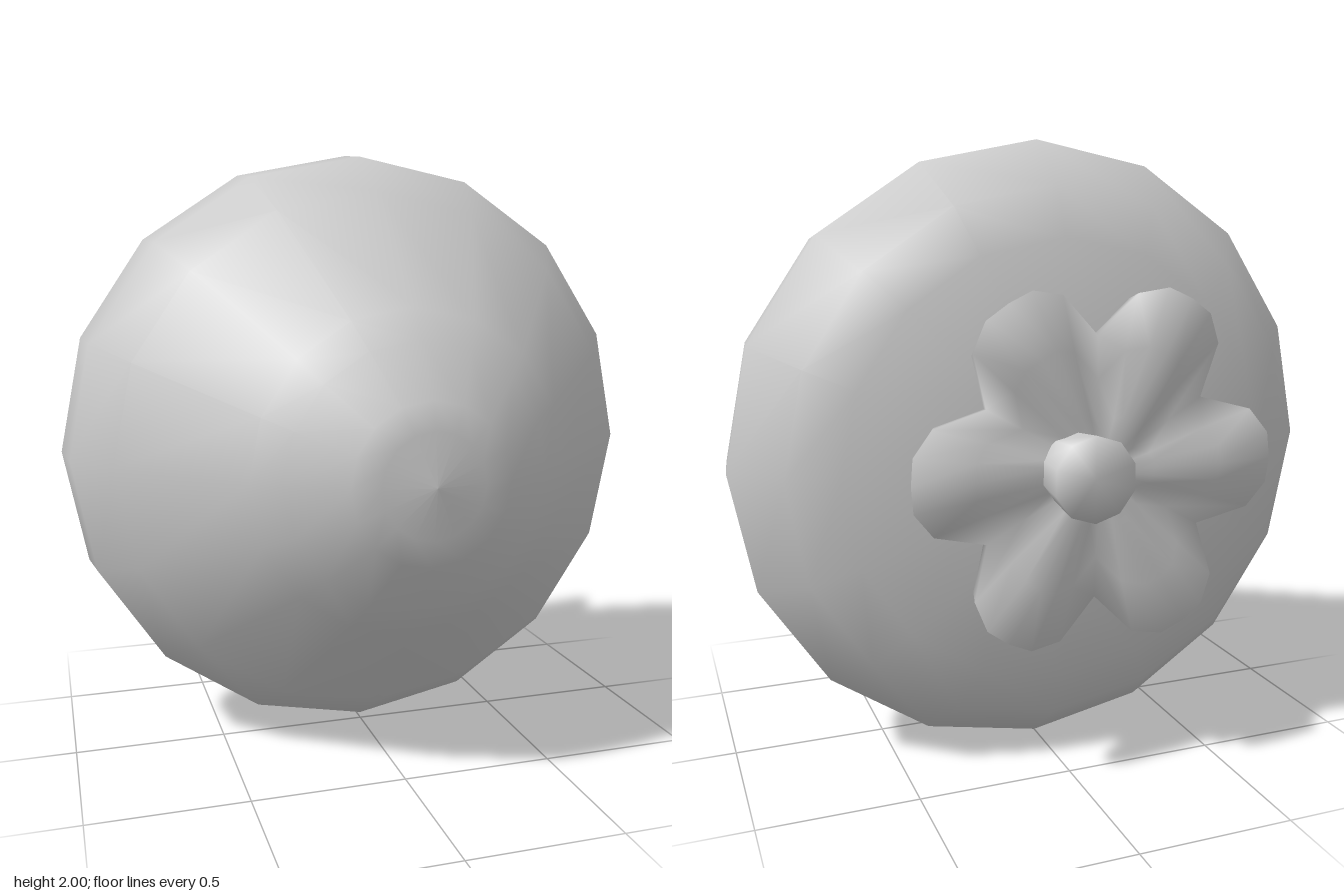
import * as THREE from 'three';
import { mergeVertices } from 'three/addons/utils/BufferGeometryUtils.js';

const material = new THREE.MeshStandardMaterial({ color: 0xcccccc });

// Lathe around the z axis; the profile lists [radius, z] from back to front
function turned(name, profile, sides) {
  const points = profile.map(([r, z]) => new THREE.Vector2(r, z));
  const mesh = new THREE.Mesh(new THREE.LatheGeometry(points, sides).rotateX(Math.PI / 2), material);
  mesh.name = name;
  return mesh;
}

// Six-petalled leaf: closed rings that share one petal outline
function createCalyx() {
  // One petal: [angle in degrees, outline radius, back surface z at the rim]
  const petal = [
    [-30, 0.4, -0.59], [-17, 0.535, -0.61], [-8, 0.578, -0.62],
    [0, 0.58, -0.625], [8, 0.578, -0.62], [17, 0.535, -0.61],
  ];
  // Rings from the back centre, over the rim, to the underside centre:
  // [outline scale, z from the petal's column and rim height]
  const rings = [
    [0, () => -0.625],
    [0.3, (k) => (k === 0 ? -0.615 : -0.63)],
    [0.68, (k) => [-0.595, -0.61, -0.635, -0.645, -0.635, -0.61][k]],
    [1, (k, z) => z],
    [0.965, (k, z) => z + 0.055],
    [0.66, () => -0.51],
    [0, () => -0.505],
  ];
  const position = [], index = [], count = petal.length * 6;
  for (const [scale, height] of rings) {
    for (let j = 0; j < count; j++) {
      const k = j % petal.length;
      const [deg, r, z] = petal[k];
      const a = THREE.MathUtils.degToRad(deg + 60 * Math.floor(j / petal.length));
      position.push(Math.cos(a) * r * scale, Math.sin(a) * r * scale, height(k, z));
    }
  }
  for (let i = 0; i < rings.length - 1; i++) {
    for (let j = 0; j < count; j++) {
      const a = i * count + j, b = i * count + (j + 1) % count;
      if (i > 0) index.push(a, b, a + count);
      if (i < rings.length - 2) index.push(b, b + count, a + count);
      if (i === 0) continue;
    }
  }
  let geometry = new THREE.BufferGeometry();
  geometry.setAttribute('position', new THREE.Float32BufferAttribute(position, 3));
  geometry.setIndex(index);
  geometry = mergeVertices(geometry);
  geometry.computeVertexNormals();
  const mesh = new THREE.Mesh(geometry, material);
  mesh.name = 'calyx';
  return mesh;
}

export function createModel() {
  const model = new THREE.Group();
  model.name = 'fruit';

  // Squat body tapering to a blunt nose at the front
  const body = turned('body', [
    [0, -0.52], [0.38, -0.51], [0.7, -0.425], [0.855, -0.36], [1, -0.185], [0.98, 0],
    [0.855, 0.19], [0.5, 0.545], [0.41, 0.61], [0.245, 0.72], [0.16, 0.738], [0, 0.76],
  ], 16);
  body.position.y = 1;

  const calyx = createCalyx();
  calyx.position.set(-0.037, 1.02, 0);

  // Short stalk flaring towards its cut end
  const stem = turned('stem', [[0, -0.76], [0.128, -0.76], [0.11, -0.6]], 10);
  stem.position.set(0.04, 1.03, 0);

  model.add(body, calyx, stem);
  return model;
}
